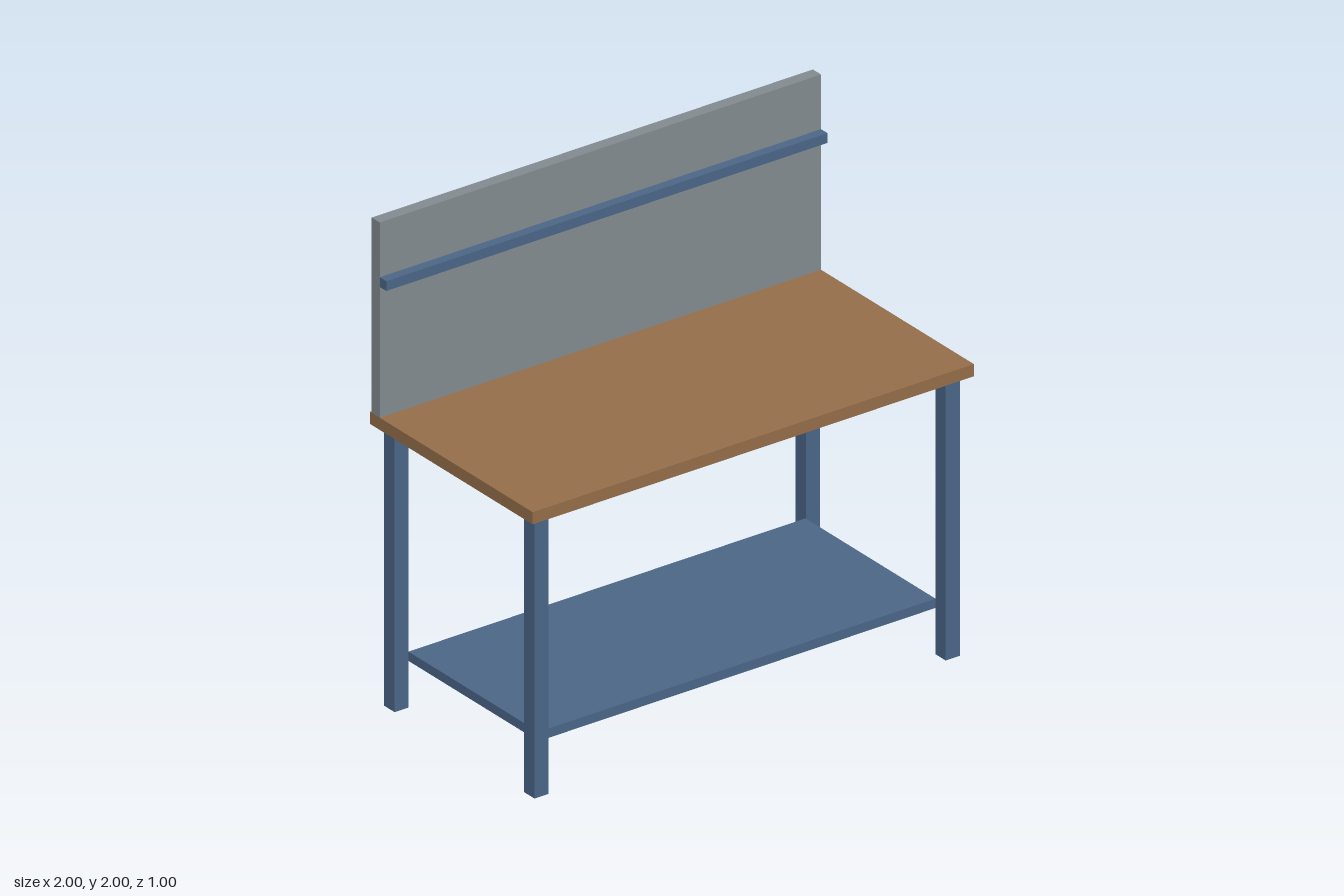
import * as THREE from 'three';

export function createModel() {
  const bench = new THREE.Group();
  bench.name = 'workbench';

  const material = (name, color) => {
    const m = new THREE.MeshStandardMaterial({ color });
    m.name = name;
    return m;
  };
  const wood = material('wood', 0x966f4b);
  const blueSteel = material('blue steel', 0x4b6788);
  const greyPanel = material('grey panel', 0x848c91);

  // Box given by its size and the position of its bottom centre
  const addBox = (name, mat, [w, h, d], [x, y, z]) => {
    const mesh = new THREE.Mesh(new THREE.BoxGeometry(w, h, d), mat);
    mesh.name = name;
    mesh.position.set(x, y + h / 2, z);
    bench.add(mesh);
  };

  // Worktop and lower shelf
  addBox('worktop', wood, [2, 0.05, 1], [0, 1.15, 0]);
  addBox('lowerShelf', blueSteel, [1.8, 0.038, 0.8], [0, 0.19, 0]);

  // Four square legs
  for (const [side, x] of [['Left', 0.932], ['Right', -0.932]]) {
    for (const [end, z] of [['front', 0.43], ['back', -0.43]]) {
      addBox(`${end}${side}Leg`, blueSteel, [0.064, 1.15, 0.064], [x, 0, z]);
    }
  }

  // Back panel with its tool rail
  addBox('backPanel', greyPanel, [2, 0.8, 0.05], [0, 1.2, -0.465]);
  addBox('toolRail', blueSteel, [2, 0.04, 0.04], [0, 1.736, -0.42]);

  return bench;
}
